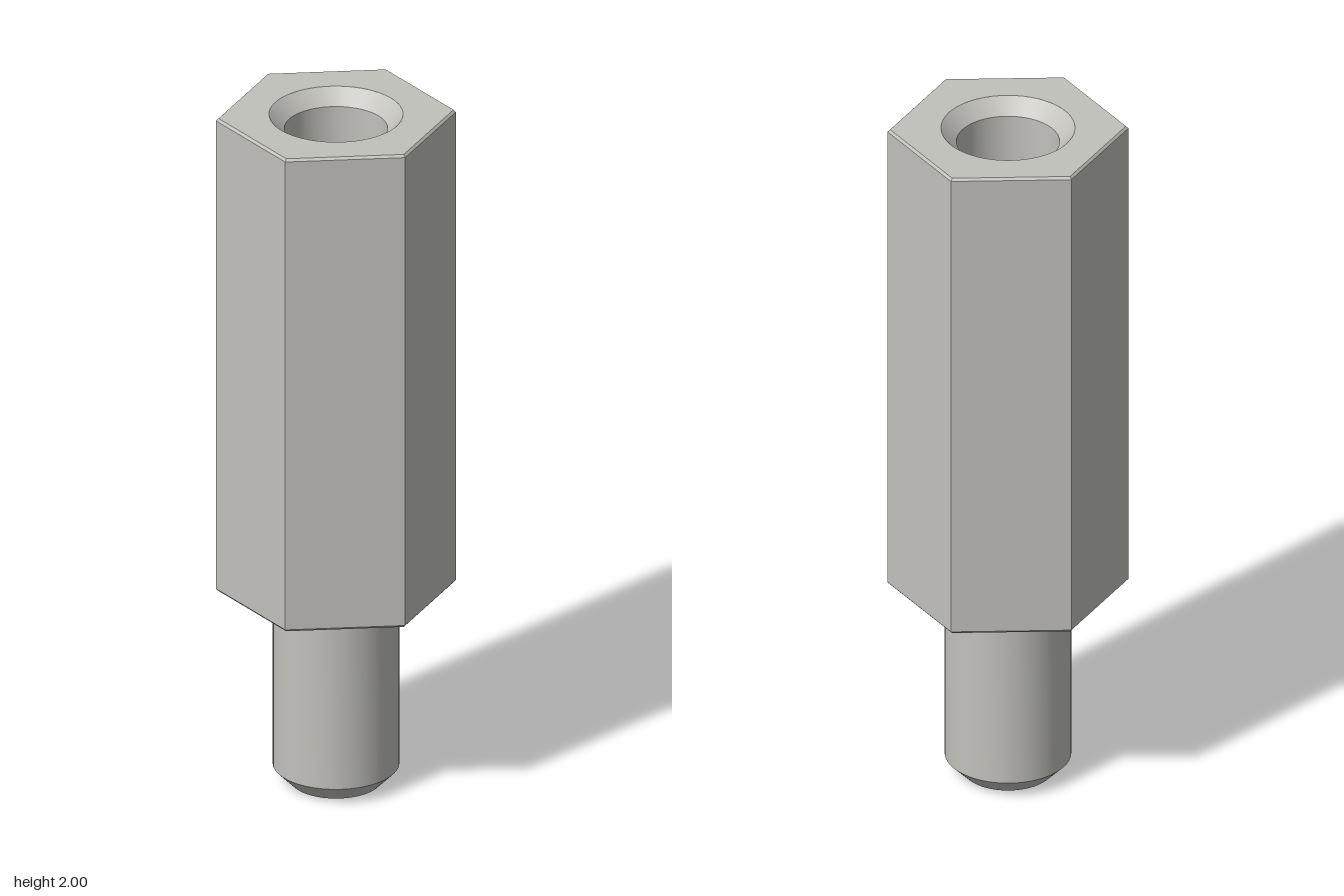
import * as THREE from 'three';
import { toCreasedNormals } from 'three/addons/utils/BufferGeometryUtils.js';

export function createModel() {
  const group = new THREE.Group();
  const metal = new THREE.MeshStandardMaterial({ color: 0xc2c1bc });
  metal.name = 'brushed metal';

  const R = 0.329, CHAMFER = 0.007;
  const BASE = 0.58, TOP = 2;
  const RIM = 0.183, BORE = 0.141, STUD = 0.173;

  const add = (name, geometry, parent = group) => {
    const mesh = new THREE.Mesh(geometry, metal);
    mesh.name = name;
    parent.add(mesh);
    return mesh;
  };

  // Six-sided band with corners on the x axis
  const hexBand = (rTop, rBottom, y0, y1) => {
    const g = new THREE.CylinderGeometry(rTop, rBottom, y1 - y0, 6, 1, true, Math.PI / 2);
    return toCreasedNormals(g.translate(0, (y0 + y1) / 2, 0), 0.3);
  };

  // Flat hexagon with a round opening
  const hexFace = (radius, hole) => {
    const shape = new THREE.Shape();
    for (let i = 0; i < 6; i++) {
      const a = (i * Math.PI) / 3;
      shape[i ? 'lineTo' : 'moveTo'](radius * Math.cos(a), radius * Math.sin(a));
    }
    shape.closePath();
    shape.holes.push(new THREE.Path().absarc(0, 0, hole, 0, Math.PI * 2, true));
    return new THREE.ShapeGeometry(shape, 64);
  };

  const turned = (points) => toCreasedNormals(
    new THREE.LatheGeometry(points.map(([x, y]) => new THREE.Vector2(x, y)), 64), 0.4);

  // Hexagonal body with fine chamfers at both ends
  const body = new THREE.Group();
  body.name = 'hexBody';
  group.add(body);
  add('hexSides', hexBand(R, R, BASE + CHAMFER, TOP - CHAMFER), body);
  add('topChamfer', hexBand(R - CHAMFER, R, TOP - CHAMFER, TOP), body);
  add('bottomChamfer', hexBand(R, R - CHAMFER, BASE, BASE + CHAMFER), body);
  add('topFace', hexFace(R - CHAMFER, RIM).rotateX(-Math.PI / 2).translate(0, TOP, 0), body);
  add('bottomFace', hexFace(R - CHAMFER, STUD).rotateX(Math.PI / 2).translate(0, BASE, 0), body);

  // Countersunk blind bore
  add('bore', turned([[RIM, TOP], [BORE, TOP - 0.042], [BORE, 1.1], [0, 1.1]]));

  // Stud with a chamfered tip
  add('stud', turned([[0, 0], [0.124, 0], [STUD, 0.05], [STUD, BASE]]));

  return group;
}
